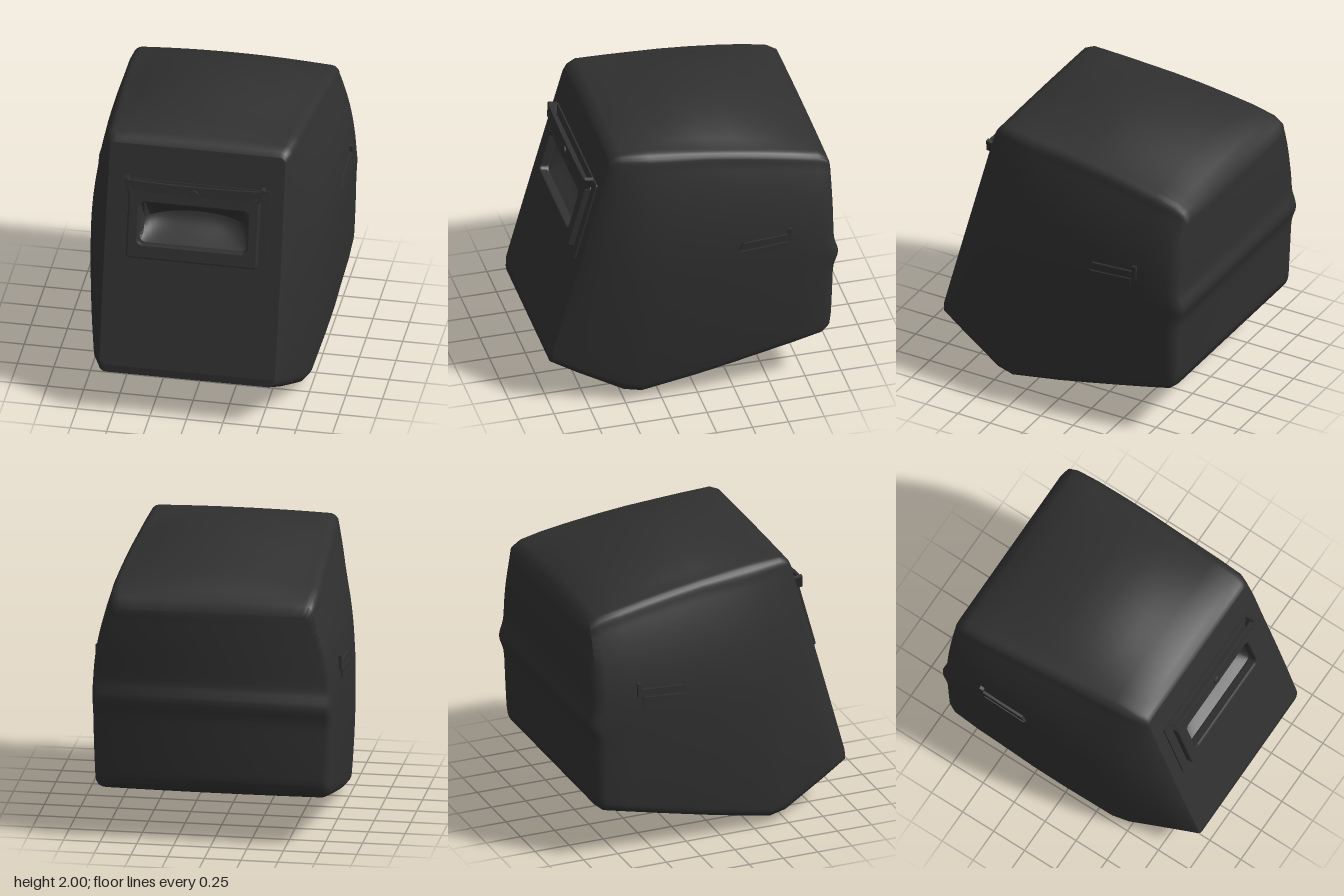
import * as THREE from 'three';
import { toCreasedNormals } from 'three/addons/utils/BufferGeometryUtils.js';

const dark = new THREE.MeshStandardMaterial({ color: 0x303030 });
dark.name = 'charcoal plastic';
const darkInner = new THREE.MeshStandardMaterial({ color: 0x303030, side: THREE.DoubleSide });
darkInner.name = 'charcoal plastic lining';

// Slanted slices from front to back: top z,y / bottom z,y / half widths top, mid, bottom / crowns top, bottom / corner radius
const slices = [
  [0.57, 1.87, 0.98, 0.36, 0.60, 0.605, 0.60, 0, 0, 0.04],
  [0.545, 1.90, 0.982, 0.305, 0.615, 0.62, 0.605, 0.005, 0, 0.05],
  [0.49, 1.92, 0.80, 0.205, 0.63, 0.695, 0.64, 0.01, 0.01, 0.06],
  [0.30, 1.912, 0.50, 0.062, 0.635, 0.765, 0.72, 0.045, 0.035, 0.08],
  [0.15, 1.90, 0.38, 0.045, 0.64, 0.79, 0.74, 0.08, 0.045, 0.08],
  [-0.1, 1.875, 0, 0.135, 0.65, 0.817, 0.77, 0.125, 0.035, 0.07],
  [-0.3, 1.85, -0.24, 0.195, 0.66, 0.828, 0.785, 0.12, 0.03, 0.07],
  [-0.5, 1.82, -0.45, 0.245, 0.67, 0.832, 0.79, 0.10, 0.02, 0.07],
  [-0.7, 1.785, -0.67, 0.30, 0.68, 0.83, 0.80, 0.065, 0.015, 0.07],
  [-0.86, 1.75, -0.86, 0.345, 0.68, 0.82, 0.80, 0.025, 0.005, 0.07],
  [-0.925, 1.71, -0.91, 0.385, 0.67, 0.805, 0.78, 0.01, 0, 0.06],
  [-0.95, 1.64, -0.93, 0.44, 0.64, 0.775, 0.74, 0, 0, 0.05],
];
const [FZ1, FY1, FZ0, FY0] = slices[0];
const tilt = Math.atan2(FZ0 - FZ1, FY1 - FY0);

// Closed ring of points: bottom centre, up the +x side, top centre, back down the -x side
function ring([tz, ty, bz, by, wt, wm, wb, ct, cb, r]) {
  const h = Math.hypot(ty - by, tz - bz), k = r / h, half = [];
  const width = v => {
    const s = 2 * v - 1;
    return wm - (s > 0 ? wm - wt : wm - wb) * s * s;
  };
  const add = (x, v, dy = 0) => {
    const y = by + (ty - by) * v + dy;
    let z = bz + (tz - bz) * v;
    if (z < -0.8) z -= 0.035 * Math.exp(-(((y - 1) / 0.08) ** 2)); // ridge across the back
    half.push(new THREE.Vector3(x, y, z));
  };
  const edgeB = width(k) - r, edgeT = width(1 - k) - r;
  for (let i = 0; i < 8; i++) add(edgeB * i / 8, 0, -cb * (1 - (i / 8) ** 2));
  for (let i = 0; i <= 5; i++) {
    const a = i / 5 * Math.PI / 2;
    add(edgeB + r * Math.sin(a), k * (1 - Math.cos(a)));
  }
  for (let i = 1; i < 30; i++) { const v = k + (1 - 2 * k) * i / 30; add(width(v), v); }
  for (let i = 0; i <= 5; i++) {
    const a = i / 5 * Math.PI / 2;
    add(edgeT + r * Math.cos(a), 1 - k + k * Math.sin(a));
  }
  for (let i = 7; i >= 0; i--) add(edgeT * i / 8, 1, ct * (1 - (i / 8) ** 2));
  const mirrored = half.slice(1, -1).reverse().map(p => new THREE.Vector3(-p.x, p.y, p.z));
  return half.concat(mirrored);
}

function meshFrom(points, index) {
  const g = new THREE.BufferGeometry();
  g.setAttribute('position', new THREE.Float32BufferAttribute(points.flatMap(p => p.toArray()), 3));
  g.setIndex(index);
  g.computeVertexNormals();
  return g;
}

function shellGeometry(rings) {
  const N = rings[0].length, n = N / 2 + 1, index = [];
  for (let s = 0; s < rings.length - 1; s++) for (let i = 0; i < N; i++) {
    const a = s * N + i, b = s * N + (i + 1) % N, c = a + N, d = b + N;
    index.push(a, c, b, b, c, d);
  }
  // back wall: strips joining each side point to its mirror
  const o = (rings.length - 1) * N, L = i => o + (N - i) % N;
  for (let i = 0; i < n - 1; i++) {
    if (i > 0) index.push(o + i, L(i), o + i + 1);
    if (i < n - 2) index.push(L(i), L(i + 1), o + i + 1);
  }
  return toCreasedNormals(meshFrom(rings.flat(), index), 0.75);
}

function roundedRect(target, w, h, r, cy) {
  const c = [[w - r, -h + r, -Math.PI / 2], [w - r, h - r, 0], [-w + r, h - r, Math.PI / 2], [-w + r, -h + r, Math.PI]];
  c.forEach(([x, y, a]) => target.absarc(x, cy + y, r, a, a + Math.PI / 2, false));
  target.closePath();
  return target;
}

function part(parent, name, geometry, material = dark) {
  const m = new THREE.Mesh(geometry, material);
  m.name = name;
  parent.add(m);
  return m;
}

const HOLE = [0.37, 0.145, 0.045];
function frame(w, h, r, cy, holeY, depth, bevel) {
  const s = roundedRect(new THREE.Shape(), w - bevel, h - bevel, r, cy);
  s.holes.push(roundedRect(new THREE.Path(), HOLE[0] + bevel, HOLE[1] + bevel, HOLE[2], holeY));
  return new THREE.ExtrudeGeometry(s, {
    depth: depth - bevel, bevelEnabled: bevel > 0, bevelSize: bevel, bevelThickness: bevel, bevelSegments: 2, curveSegments: 6,
  });
}

// Scoop behind the window: ceiling and floor meeting along an arch
function scoopGeometry(cy) {
  const pts = [], index = [], cols = 24, rows = 10;
  for (let i = 0; i <= cols; i++) {
    const u = i / cols * 2 - 1, depth = 0.15 * Math.sqrt(1 - u ** 4), arch = 0.06 - 0.06 * u * u;
    for (let j = 0; j <= rows; j++) {
      const t = j / (rows - 1);
      const y = j === rows ? 0.16 : -0.16 + (arch + 0.16) * t;
      const z = j === rows ? 0 : -depth * Math.sin(t * Math.PI / 2);
      pts.push(new THREE.Vector3(u * 0.385, cy + y, z));
    }
  }
  const R = rows + 1;
  for (let i = 0; i < cols; i++) for (let j = 0; j < rows; j++) {
    const a = i * R + j;
    index.push(a, a + R, a + 1, a + 1, a + R, a + R + 1);
  }
  return toCreasedNormals(meshFrom(pts, index), 0.6);
}

export function createModel() {
  const model = new THREE.Group();
  model.name = 'weldingMask';
  const rings = slices.map(ring);
  part(model, 'shell', shellGeometry(rings));

  // Everything on the sloping front is built upright, then tilted
  const front = new THREE.Group();
  front.name = 'frontFace';
  front.position.set(0, FY0, FZ0);
  front.rotation.x = -tilt;
  model.add(front);
  const up = y => (y - FY0) / Math.cos(tilt);
  const cy = up(1.355);

  const face = new THREE.Shape(rings[0].map(p => new THREE.Vector2(p.x, up(p.y))));
  face.holes.push(roundedRect(new THREE.Path(), ...HOLE, cy));
  part(front, 'frontPanel', new THREE.ShapeGeometry(face, 6));
  part(front, 'windowScoop', scoopGeometry(cy), darkInner);
  part(front, 'backingFrame', frame(0.515, 0.295, 0.01, cy, cy, 0.012, 0));
  part(front, 'lensHolder', frame(0.45, 0.245, 0.015, cy - 0.005, cy, 0.06, 0.012));

  // Hinged clip above the window
  const clip = new THREE.Group();
  clip.name = 'lensClip';
  clip.position.set(0, up(1.57), 0.06);
  clip.rotation.x = 0.1;
  front.add(clip);
  const flap = new THREE.Shape();
  flap.moveTo(-0.42, 0.015);
  flap.quadraticCurveTo(0, -0.015, 0.42, 0.015);
  flap.lineTo(0.47, 0.085);
  flap.quadraticCurveTo(0, 0.06, -0.47, 0.085);
  part(clip, 'clipFlap', new THREE.ExtrudeGeometry(flap, { depth: 0.02, bevelEnabled: false, curveSegments: 16 }));
  for (const side of [-1, 1]) {
    const ear = part(clip, 'clipEar', new THREE.BoxGeometry(0.025, 0.1, 0.06));
    ear.position.set(side * 0.455, 0.05, -0.01);
    ear.rotation.z = -side * 0.35;
  }
  const knob = part(clip, 'clipKnob', new THREE.CylinderGeometry(0.03, 0.035, 0.02, 20));
  knob.rotation.x = Math.PI / 2;
  knob.position.set(0, 0.02, 0.02);

  // Strap guides on both sides, drawn in (z, y)
  const guides = [
    [[-0.27, 1.17], [-0.61, 1.195], [-0.615, 1.18], [-0.64, 1.18], [-0.64, 1.28], [-0.61, 1.275], [-0.61, 1.235], [-0.3, 1.215]],
    [[-0.28, 1.15], [-0.6, 1.175], [-0.6, 1.115], [-0.55, 1.125], [-0.42, 1.125]],
  ];
  for (const side of [-1, 1]) for (const outline of guides) {
    const shape = new THREE.Shape(outline.map(p => new THREE.Vector2(...p)));
    const guide = part(model, 'strapGuide', new THREE.ExtrudeGeometry(shape, { depth: 0.06, bevelEnabled: false }));
    guide.rotation.y = -Math.PI / 2;
    guide.position.x = side > 0 ? 0.838 : -0.778;
  }
  return model;
}
